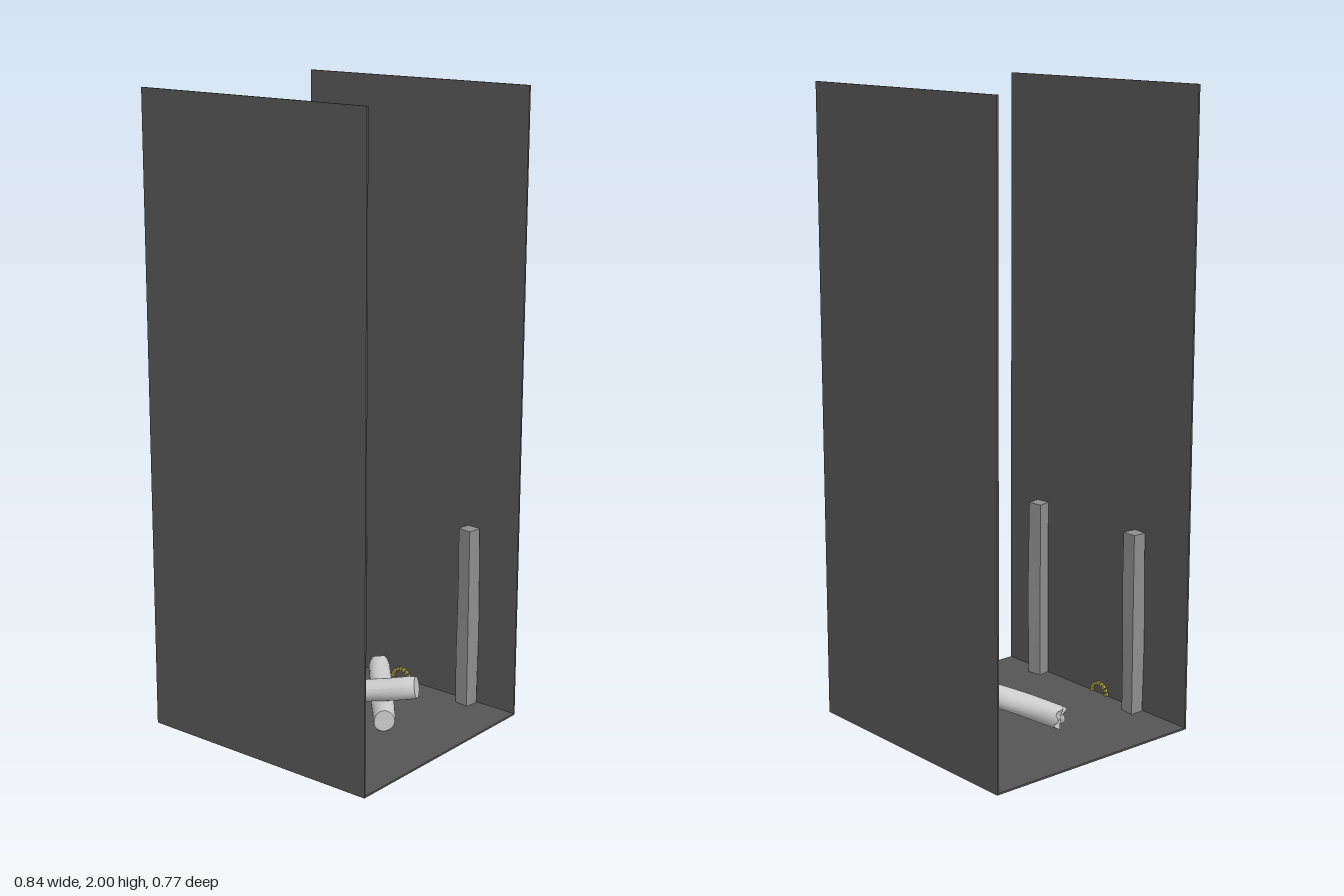
import * as THREE from 'three';

const material = (color, flatShading = false) => new THREE.MeshStandardMaterial({ color, flatShading });
const wallMat = material(0x555555);
const postMat = material(0x8e8e8e, true);
const logMat = material(0xcccccc);
const stoneMat = material(0xb4b04a, true);

function add(parent, name, geometry, mat) {
  const mesh = new THREE.Mesh(geometry, mat);
  mesh.name = name;
  parent.add(mesh);
  return mesh;
}

// Rough-hewn post: a box whose rings drift slightly and whose corners are uneven
function postGeometry(seed) {
  const geo = new THREE.BoxGeometry(0.05, 0.595, 0.046, 1, 6, 1);
  const p = geo.attributes.position;
  for (let i = 0; i < p.count; i++) {
    const y = p.getY(i), sx = Math.sign(p.getX(i)), sz = Math.sign(p.getZ(i));
    const k = 1 + 0.05 * Math.sin(y * 9 + seed + sx * 1.3 + sz * 2.1);
    p.setX(i, p.getX(i) * k);
    p.setZ(i, p.getZ(i) * k);
  }
  geo.computeVertexNormals();
  return geo;
}

// Log between two points: wavy bark, splintered start, lightly rounded cut end
function makeLog(name, start, end, radius, seed) {
  const axis = end.clone().sub(start), length = axis.length();
  const group = new THREE.Group();
  group.name = name;
  const ring = (t, angle, scale = 1) => {
    const bump = 1 + 0.035 * Math.sin(angle * 2 + t * 5 + seed) + 0.025 * Math.sin(angle * 3 - t * 11 + seed * 2);
    const ragged = t < 0.01 ? 0.007 * Math.sin(angle * 5 + seed) : 0;
    const r = radius * bump * scale;
    return [r * Math.cos(angle), (t - 0.5) * length + ragged, r * Math.sin(angle)];
  };
  const bark = new THREE.CylinderGeometry(1, 1, 1, 28, 20, true);
  const p = bark.attributes.position;
  for (let i = 0; i < p.count; i++) {
    const t = p.getY(i) + 0.5;
    p.setXYZ(i, ...ring(t, Math.atan2(p.getZ(i), p.getX(i)), t > 0.99 ? 0.93 : 1));
  }
  bark.computeVertexNormals();
  add(group, 'bark', bark, logMat);
  // Cut faces
  for (const t of [0, 1]) {
    const cap = new THREE.CircleGeometry(1, 28);
    cap.rotateX(t ? -Math.PI / 2 : Math.PI / 2);
    const c = cap.attributes.position;
    for (let i = 0; i < c.count; i++) {
      if (i === 0) c.setXYZ(i, 0, (t - 0.5) * length, 0);
      else c.setXYZ(i, ...ring(t, Math.atan2(c.getZ(i), c.getX(i)), t ? 0.93 : 1));
    }
    cap.computeVertexNormals();
    add(group, t ? 'cutEnd' : 'splinteredEnd', cap, logMat);
  }
  group.position.copy(start).add(end).multiplyScalar(0.5);
  group.quaternion.setFromUnitVectors(new THREE.Vector3(0, 1, 0), axis.normalize());
  return group;
}

// Small arch of separate wedge stones standing on the floor
function makeArch() {
  const arch = new THREE.Group();
  arch.name = 'stoneArch';
  const count = 9, step = Math.PI / count, gap = 0.03;
  for (let i = 0; i < count; i++) {
    const a = i * step + gap, b = (i + 1) * step - gap;
    const shape = new THREE.Shape();
    shape.absarc(0, 0, 0.04, a, b, false);
    shape.absarc(0, 0, 0.029, b, a, true);
    const geo = new THREE.ExtrudeGeometry(shape, { depth: 0.009, bevelEnabled: false, curveSegments: 2 });
    geo.translate(0, 0, -0.0045);
    add(arch, 'archStone', geo, stoneMat);
  }
  return arch;
}

export function createModel() {
  const model = new THREE.Group();
  model.name = 'corridorSection';

  // Floor slab
  add(model, 'floor', new THREE.BoxGeometry(0.84, 0.006, 0.77), wallMat).position.y = 0.006;

  // Both sides mirror each other in z
  for (const side of [1, -1]) {
    const label = side > 0 ? 'front' : 'back';
    add(model, label + 'Wall', new THREE.BoxGeometry(0.84, 1.996, 0.006), wallMat)
      .position.set(0, 1.002, side * 0.382);

    const rightPost = add(model, label + 'RightPost', postGeometry(1), postMat);
    rightPost.position.set(-0.208, 0.305, side * 0.354);
    rightPost.rotation.y = side * -0.04;

    const leftPost = add(model, label + 'LeftPost', postGeometry(2.5), postMat);
    leftPost.position.set(0.25, 0.305, side * 0.356);
    leftPost.rotation.y = side * 0.17;

    const arch = makeArch();
    arch.position.set(-0.031, 0.009, side * 0.3755);
    model.add(arch);
  }

  // Two logs, one resting across the other
  model.add(makeLog('lowerLog', new THREE.Vector3(-0.105, 0.044, -0.352), new THREE.Vector3(0.185, 0.044, -0.008), 0.036, 0.6));
  model.add(makeLog('upperLog', new THREE.Vector3(-0.186, 0.053, 0.068), new THREE.Vector3(0.222, 0.129, -0.125), 0.036, 2.2));

  return model;
}
